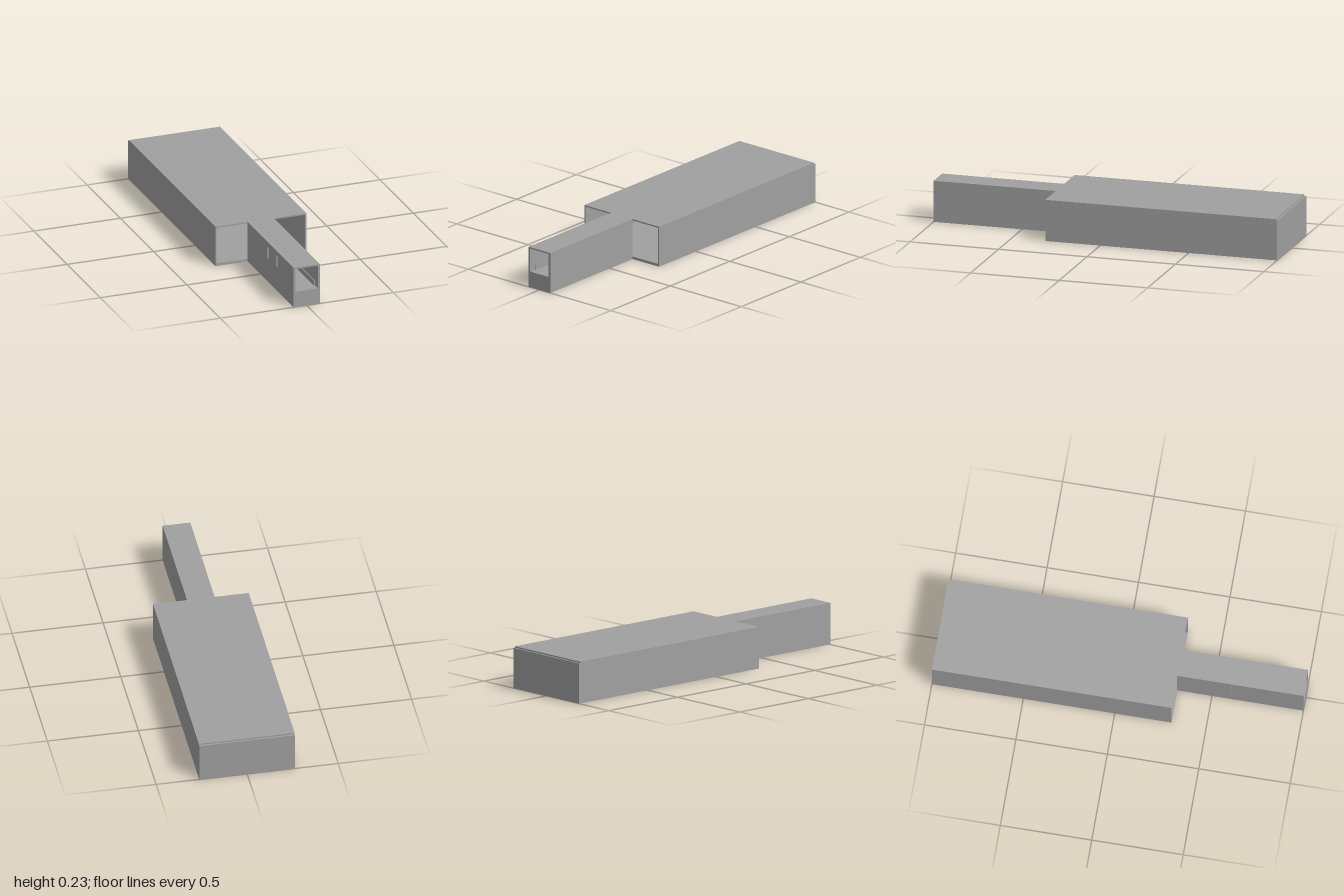
import * as THREE from 'three';

export function createModel() {
  const model = new THREE.Group();
  model.name = 'hallBuilding';
  const concrete = new THREE.MeshStandardMaterial({ color: 0xa0a0a0 });
  concrete.name = 'grey concrete';

  const add = (name, geometry) => {
    const mesh = new THREE.Mesh(geometry, concrete);
    mesh.name = name;
    model.add(mesh);
    return mesh;
  };
  // Box given by its limits on each axis
  const box = (name, x0, x1, y0, y1, z0, z1) => {
    const mesh = add(name, new THREE.BoxGeometry(x1 - x0, y1 - y0, z1 - z0));
    mesh.position.set((x0 + x1) / 2, (y0 + y1) / 2, (z0 + z1) / 2);
  };

  const W = 0.263, C = 0.076, H = 0.23, J = 0.31; // hall and corridor half widths, height, junction
  const ceiling = 0.222, floor = 0.015, corridorFloor = 0.09, wall = 0.011;

  // T-shaped slab covering hall and corridor
  const slab = (name, y0, y1, back) => {
    const shape = new THREE.Shape([
      [-W, -back], [-W, -J], [-C, -J], [-C, -1], [C, -1], [C, -J], [W, -J], [W, -back],
    ].map(([x, y]) => new THREE.Vector2(x, y)));
    const geometry = new THREE.ExtrudeGeometry(shape, { depth: y1 - y0, bevelEnabled: false });
    geometry.rotateX(-Math.PI / 2);
    geometry.translate(0, y0, 0);
    add(name, geometry);
  };
  slab('roof', ceiling, H, -0.99);
  slab('floor', 0, floor, -1);

  // Hall: side walls and lower rear wall; its front stays open beside the corridor
  box('leftWall', 0.255, W, floor, ceiling, -0.99, J);
  box('rightWall', -W, -0.255, floor, ceiling, -0.99, J);
  box('rearWall', -W, W, floor, ceiling, -1, -0.99);
  box('rearPanel', -0.148, 0.097, floor, ceiling, -0.99, -0.982);
  box('rearPanelStep', -0.148, 0.027, floor, ceiling, -0.982, -0.975);

  // Corridor with a raised floor
  box('corridorBase', -C + wall, C - wall, floor, corridorFloor, J, 1);
  box('corridorLeftWall', C - wall, C, floor, ceiling, J, 1);

  // Right corridor wall with two window recesses
  const outline = (z0, z1, y0, y1, Kind) => new Kind([
    [z0, y0], [z1, y0], [z1, y1], [z0, y1],
  ].map(([z, y]) => new THREE.Vector2(-z, y)));
  const windows = [[0.605, 0.687], [0.74, 0.82]];
  const side = outline(J, 1, floor, ceiling, THREE.Shape);
  for (const [z0, z1] of windows) {
    side.holes.push(outline(z0, z1, 0.065, 0.2, THREE.Path));
    box('windowPanel', -0.07, -0.063, 0.065, 0.2, z0, z1);
  }
  const sideGeometry = new THREE.ExtrudeGeometry(side, { depth: wall, bevelEnabled: false });
  sideGeometry.rotateY(Math.PI / 2);
  sideGeometry.translate(-C, 0, 0);
  add('corridorRightWall', sideGeometry);

  // Low rails along both sides of the corridor
  for (const s of [-1, 1]) {
    box('corridorRail', s * 0.06 - 0.002, s * 0.06 + 0.002, corridorFloor, 0.12, 0.36, 0.96);
  }

  // Half-round ceiling lamp
  const lamp = add('ceilingLamp', new THREE.SphereGeometry(0.009, 16, 8, 0, Math.PI * 2, Math.PI / 2, Math.PI / 2));
  lamp.position.set(0, ceiling, 0.65);

  return model;
}
